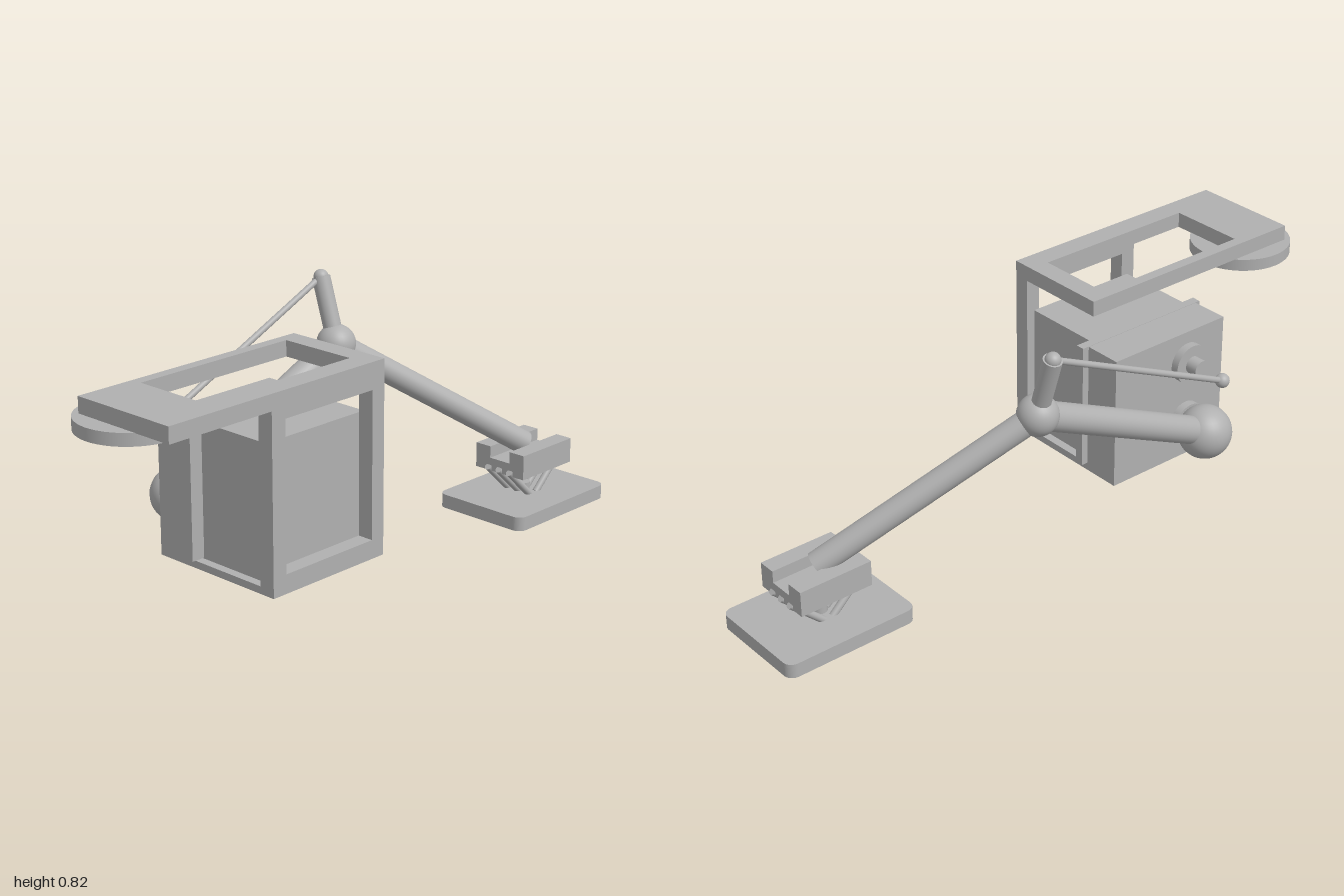
import * as THREE from 'three';

const grey = new THREE.MeshStandardMaterial({ color: 0xb0b0b0 });
grey.name = 'grey';

export function createModel() {
  const model = new THREE.Group();
  model.name = 'articulatedArm';

  const add = (name, geometry, x = 0, y = 0, z = 0) => {
    const mesh = new THREE.Mesh(geometry, grey);
    mesh.name = name;
    mesh.position.set(x, y, z);
    model.add(mesh);
    return mesh;
  };
  // Box given by its lower and upper limits
  const block = (name, [x0, y0, z0], [x1, y1, z1]) =>
    add(name, new THREE.BoxGeometry(x1 - x0, y1 - y0, z1 - z0), (x0 + x1) / 2, (y0 + y1) / 2, (z0 + z1) / 2);
  const ball = (name, p, r) => add(name, new THREE.SphereGeometry(r, 32, 20), p.x, p.y, p.z);
  // Round bar between two points
  const bar = (name, a, b, r) => {
    const dir = b.clone().sub(a);
    const mid = a.clone().add(b).multiplyScalar(0.5);
    const mesh = add(name, new THREE.CylinderGeometry(r, r, dir.length(), 32), mid.x, mid.y, mid.z);
    mesh.quaternion.setFromUnitVectors(new THREE.Vector3(0, 1, 0), dir.normalize());
    return mesh;
  };
  // Flat plate with a rectangular window
  const rectangle = (Type, x0, y0, x1, y1) => new Type([
    new THREE.Vector2(x0, y0), new THREE.Vector2(x1, y0), new THREE.Vector2(x1, y1), new THREE.Vector2(x0, y1),
  ]);
  const windowPlate = (outer, inner, depth) => {
    const shape = rectangle(THREE.Shape, ...outer);
    shape.holes.push(rectangle(THREE.Path, ...inner));
    return new THREE.ExtrudeGeometry(shape, { depth, bevelEnabled: false });
  };
  const v = (x, y, z) => new THREE.Vector3(x, y, z);

  // Housing
  block('housingRear', [-0.584, 0.19, -0.135], [-0.153, 0.59, 0]);
  block('housingFront', [-0.557, 0.19, 0], [-0.18, 0.59, 0.264]);
  block('housingFlange', [-0.6, 0.193, -0.015], [-0.131, 0.591, 0.013]);

  // Frame: floor, front window and overhanging top
  block('frameFloor', [-0.584, 0.168, -0.135], [-0.153, 0.19, 0.265]);
  add('frameFront', windowPlate([-0.584, 0.168, -0.153, 0.697], [-0.535, 0.225, -0.2, 0.665], 0.05), 0, 0, 0.265);
  const top = windowPlate([-0.94, -0.034, -0.153, 0.315], [-0.755, 0, -0.217, 0.245], 0.048);
  top.rotateX(Math.PI / 2);
  add('frameTop', top, 0, 0.745, 0);
  add('hangingDisc', new THREE.CylinderGeometry(0.155, 0.155, 0.037, 48), -0.845, 0.679, 0.064);

  // Joints
  const shoulder = v(-0.4375, 0.288, -0.222);
  const elbow = v(0.216, 0.594, -0.222);
  const wrist = v(0.785, 0.2, 0.062);
  const leverTip = v(0.216, 0.793, -0.285);
  const rodEnd = v(-0.4375, 0.49, -0.285);

  bar('shoulderMount', v(-0.4375, 0.29, -0.134), v(-0.4375, 0.29, -0.16), 0.062);
  bar('rodMount', v(-0.4375, 0.49, -0.134), v(-0.4375, 0.49, -0.16), 0.062);
  bar('rodMountPin', v(-0.4375, 0.49, -0.15), v(-0.4375, 0.49, -0.2), 0.027);
  ball('shoulderBall', shoulder, 0.083);
  ball('elbowBall', elbow, 0.061);
  ball('leverBall', leverTip, 0.023);
  ball('rodBall', rodEnd, 0.022);

  // Limbs
  bar('upperArm', shoulder, elbow, 0.043);
  bar('forearm', elbow, wrist, 0.038);
  bar('lever', elbow, leverTip, 0.028);
  bar('controlRod', rodEnd, leverTip, 0.0095);

  // Foot bracket with a channel along the top
  block('bracketBase', [0.665, 0.128, -0.033], [0.903, 0.17, 0.159]);
  block('bracketRailBack', [0.665, 0.17, -0.033], [0.903, 0.208, 0.024]);
  block('bracketRailFront', [0.665, 0.17, 0.102], [0.903, 0.208, 0.159]);

  // Struts spreading from the sole to the bracket
  for (const z of [0.02, 0.063, 0.106]) {
    for (const side of [-1, 1]) {
      bar('strut', v(0.783 + side * 0.015, 0.04, z), v(0.783 + side * 0.123, 0.141, z), 0.011);
    }
  }
  add('soleHub', new THREE.CylinderGeometry(0.024, 0.024, 0.03, 32), 0.783, 0.055, 0.063);

  // Sole with rounded corners
  const w = 0.2165, h = 0.168, r = 0.03;
  const sole = new THREE.Shape();
  sole.absarc(w - r, h - r, r, 0, Math.PI / 2);
  sole.absarc(-w + r, h - r, r, Math.PI / 2, Math.PI);
  sole.absarc(-w + r, -h + r, r, Math.PI, Math.PI * 1.5);
  sole.absarc(w - r, -h + r, r, Math.PI * 1.5, Math.PI * 2);
  const soleGeometry = new THREE.ExtrudeGeometry(sole, { depth: 0.045, bevelEnabled: false, curveSegments: 8 });
  soleGeometry.rotateX(Math.PI / 2);
  add('sole', soleGeometry, 0.7835, 0.045, 0.063);

  return model;
}
